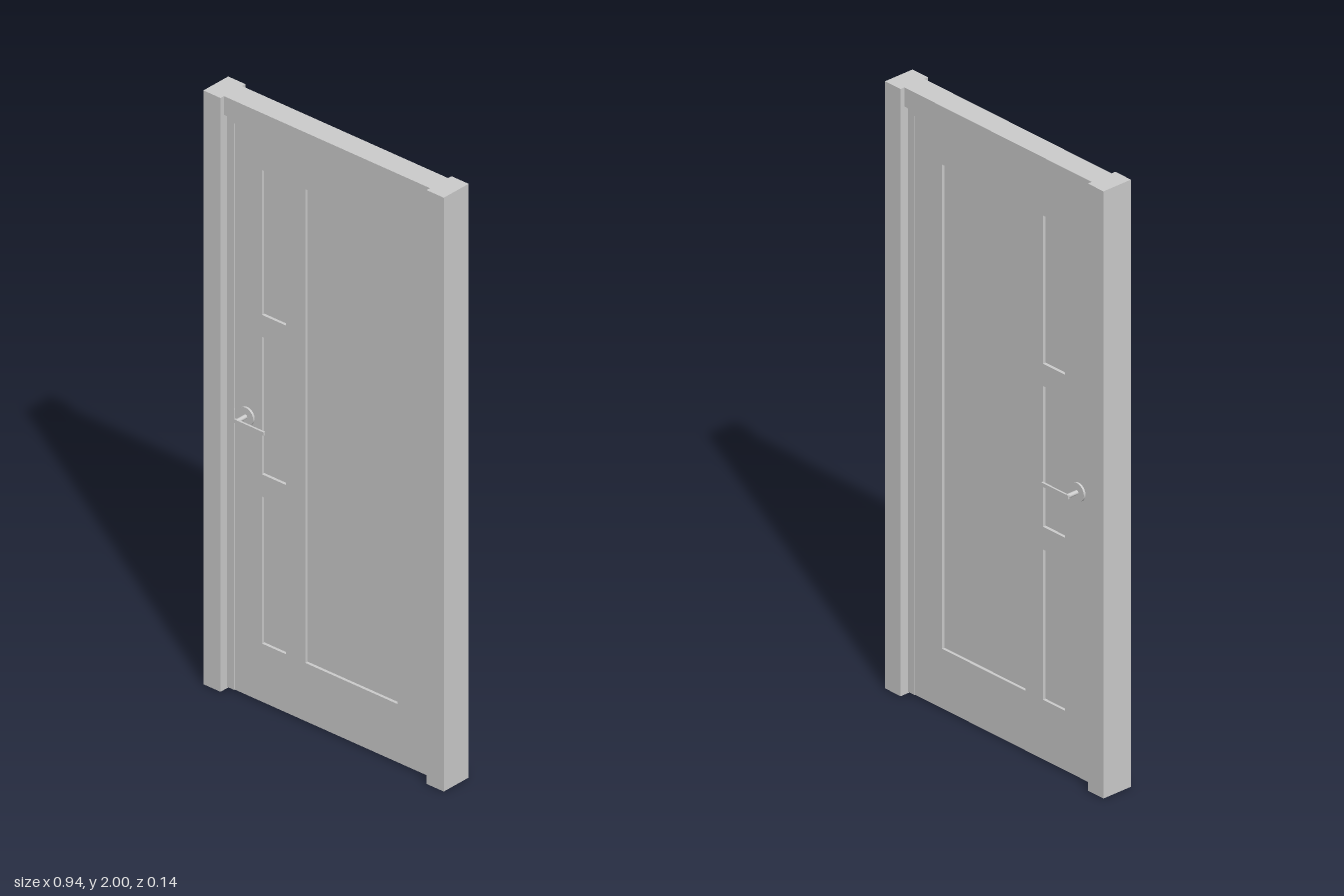
import * as THREE from 'three';

const material = new THREE.MeshStandardMaterial({ color: 0xcccccc, side: THREE.DoubleSide });

export function createModel() {
  const model = new THREE.Group();
  model.name = 'door';

  const add = (name, geometry, x = 0, y = 0, z = 0, parent = model) => {
    const mesh = new THREE.Mesh(geometry, material);
    mesh.name = name;
    mesh.position.set(x, y, z);
    parent.add(mesh);
    return mesh;
  };
  // Box given by its extents in x and y and its depth, centred on z
  const slab = (name, x0, x1, y0, y1, depth, z = 0, parent = model) =>
    add(name, new THREE.BoxGeometry(x1 - x0, y1 - y0, depth), (x0 + x1) / 2, (y0 + y1) / 2, z, parent);

  // Frame: hollow side posts with open bottoms, and inner lining strips
  for (const side of [-1, 1]) {
    const label = side > 0 ? 'left' : 'right';
    const post = new THREE.BoxGeometry(0.067, 2, 0.109);
    const index = Array.from(post.index.array);
    index.splice(18, 6); // drop the bottom face
    post.setIndex(index);
    post.clearGroups();
    add(label + 'Post', post, side * 0.4365, 1, 0);
    slab(label + 'Lining', side * 0.39 - 0.014, side * 0.39 + 0.014, 0.004, 1.937, 0.05);
  }
  slab('header', -0.403, 0.403, 1.937, 2, 0.079);
  slab('topLining', -0.403, 0.403, 1.912, 1.937, 0.05);

  // Door leaf: a slab pierced by panel openings, with a thinner core
  const openings = [
    [-0.27, -0.175, 1.307, 1.795],
    [-0.27, -0.175, 0.77, 1.233],
    [-0.27, -0.175, 0.2, 0.695],
    [-0.1, 0.26, 0.2, 1.795],
  ];
  const rectangle = (path, [x0, x1, y0, y1]) =>
    path.moveTo(x0, y0).lineTo(x1, y0).lineTo(x1, y1).lineTo(x0, y1).closePath();
  const outline = new THREE.Shape();
  rectangle(outline, [-0.376, 0.376, 0.004, 1.91]);
  for (const opening of openings) {
    const hole = new THREE.Path();
    rectangle(hole, opening);
    outline.holes.push(hole);
  }
  const thickness = 0.044;
  add('leaf', new THREE.ExtrudeGeometry(outline, { depth: thickness, bevelEnabled: false }), 0, 0, -thickness / 2);
  openings.forEach(([x0, x1, y0, y1], i) =>
    slab('panel' + (i + 1), x0, x1, y0, y1, 0.024));

  // Lever handles on both faces, each with a round rose and neck
  for (const side of [1, -1]) {
    const handle = new THREE.Group();
    handle.name = side > 0 ? 'frontHandle' : 'backHandle';
    handle.position.set(-0.328, 0.945, 0);
    model.add(handle);
    const disc = (name, radius, z0, z1) => {
      const geometry = new THREE.CylinderGeometry(radius, radius, z1 - z0, 32).rotateX(Math.PI / 2);
      add(name, geometry, 0, 0, side * (z0 + z1) / 2, handle);
    };
    disc('rose', 0.03, 0.02, 0.029);
    disc('neck', 0.007, 0.025, 0.07);
    slab('lever', -0.007, 0.108, -0.006, 0.006, 0.007, side * 0.0675, handle);
  }

  // Hinge knuckles and the latch plate at the edges of the leaf
  for (const y of [1.73, 0.29]) {
    add('hinge', new THREE.CylinderGeometry(0.004, 0.004, 0.143, 16), 0.387, y, 0.026);
  }
  slab('latchPlate', -0.379, -0.375, 0.895, 0.95, 0.03, 0.011);

  return model;
}
